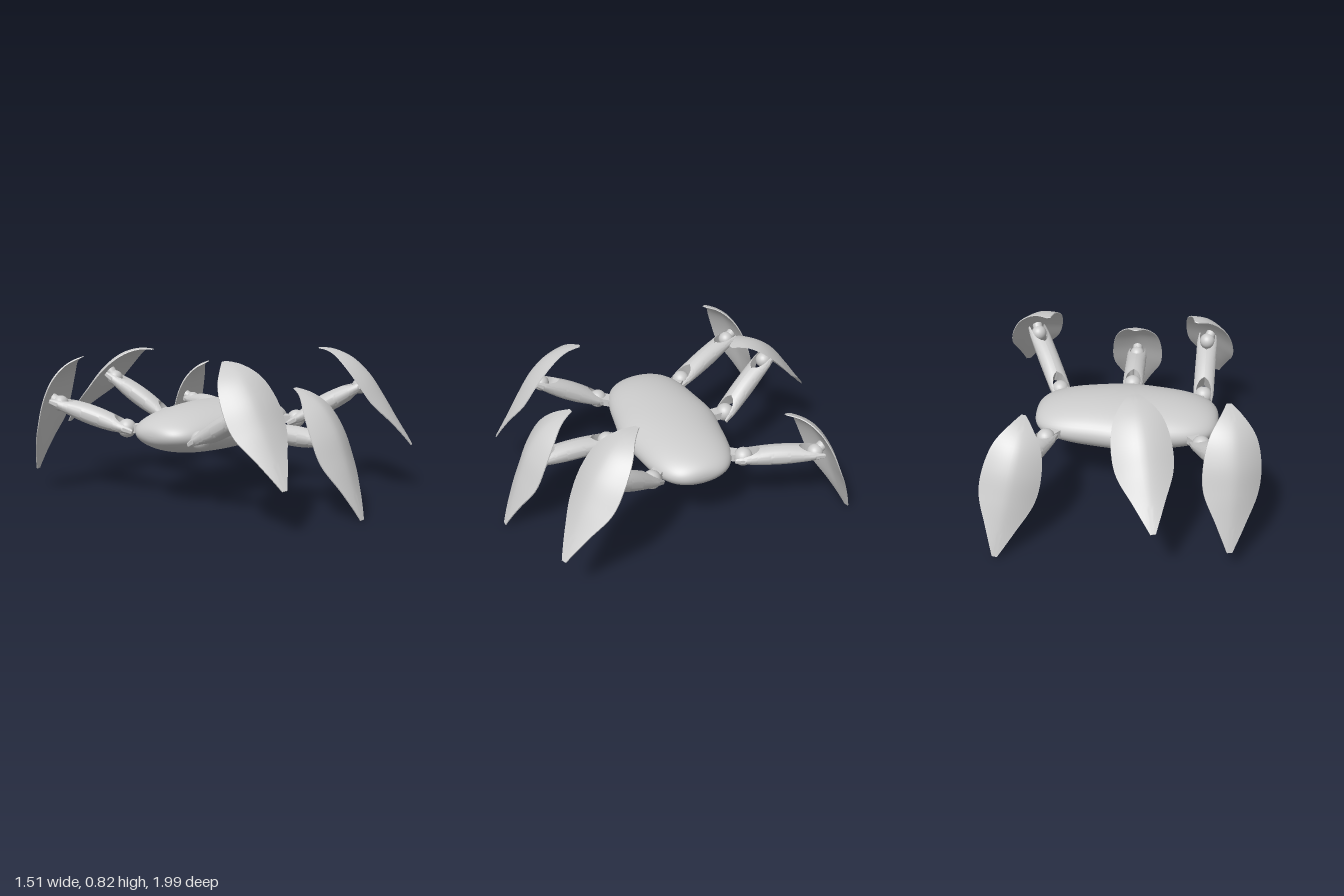
import * as THREE from 'three';
import { toCreasedNormals } from 'three/addons/utils/BufferGeometryUtils.js';

const V = (x, y, z) => new THREE.Vector3(x, y, z);
const material = new THREE.MeshStandardMaterial({ color: 0xcccccc });

// Piecewise-linear profile lookup, eased by Catmull-Rom
function profile(points) {
  const curve = new THREE.CatmullRomCurve3(points.map(([u, v]) => V(u, v, 0)), false, 'centripetal');
  const samples = curve.getPoints(200);
  return (u) => {
    const i = Math.max(1, samples.findIndex((p) => p.x >= u - 1e-6));
    const a = samples[i - 1], b = samples[i];
    return THREE.MathUtils.lerp(a.y, b.y, (u - a.x) / (b.x - a.x || 1));
  };
}

// Closed skin over equal-length rings, always turned outward
function loft(rings, crease) {
  const n = rings[0].length, last = (rings.length - 1) * n;
  const pts = rings.flat();
  const tris = [];
  for (let r = 0; r < rings.length - 1; r++) {
    for (let k = 0; k < n; k++) {
      const a = r * n + k, b = r * n + (k + 1) % n;
      tris.push([a, b, a + n], [b, b + n, a + n]);
    }
  }
  for (let k = 1; k < n - 1; k++) tris.push([0, k + 1, k], [last, last + k, last + k + 1]);
  let volume = 0;
  for (const [a, b, c] of tris) volume += pts[a].dot(pts[b].clone().cross(pts[c]));
  const geometry = new THREE.BufferGeometry().setFromPoints(pts);
  geometry.setIndex(tris.flatMap(([a, b, c]) => (volume < 0 ? [a, c, b] : [a, b, c])));
  return toCreasedNormals(geometry, crease);
}

function add(parent, name, geometry) {
  const mesh = new THREE.Mesh(geometry, material);
  mesh.name = name;
  parent.add(mesh);
  return mesh;
}

// Flattened pebble with full ends and a slight bulge at the middle legs
function bodyGeometry() {
  const g = new THREE.SphereGeometry(1, 48, 64).rotateZ(Math.PI / 2);
  const p = g.attributes.position;
  for (let i = 0; i < p.count; i++) {
    const x = p.getX(i), ax = Math.min(1, Math.abs(x));
    const r = Math.max(1e-4, Math.hypot(p.getY(i), p.getZ(i)));
    const hy = 0.135 * (1 - ax ** 2.4) ** (1 / 2.4);
    const hz = (0.26 + 0.025 * Math.exp(-((x / 0.28) ** 2))) * Math.cbrt(1 - ax ** 3);
    p.setXYZ(i, x * 0.52, p.getY(i) / r * hy, p.getZ(i) / r * hz);
  }
  g.computeVertexNormals();
  return g;
}

// One half of the forked limb; runs along +z from joint to joint
function limbHalf(length, side) {
  const rings = [], steps = 60, over = 0.05;
  for (let i = 0; i <= steps; i++) {
    const s = -over + (length + 2 * over) * (i / steps);
    const bulge = Math.sin(Math.PI * i / steps);
    const thick = 0.025 + 0.03 * bulge;
    const wide = 0.052 + 0.008 * Math.min(1, bulge * 2.5);
    const d = Math.max(0, Math.min(s, length - s)) / 0.09;
    const inner = 0.045 * Math.sqrt(Math.max(0, 1 - d * d));
    const top = [], bottom = [];
    for (let k = 0; k <= 6; k++) {
      const x = THREE.MathUtils.lerp(inner, wide, Math.sin(k / 6 * Math.PI / 2));
      const y = thick * Math.sqrt(1 - (0.96 * x / wide) ** 2);
      top.push(V(side * x, y, s));
      bottom.unshift(V(side * x, -y, s));
    }
    rings.push([...top, ...bottom]);
  }
  return loft(rings, 0.9);
}

// Leaf-shaped shield: half-width and outward bow along its length
const leafWidth = profile([[0, 0.012], [0.08, 0.06], [0.22, 0.125], [0.42, 0.155], [0.59, 0.146], [0.8, 0.08], [1, 0.014]]);
const leafBow = profile([[0, 0], [0.08, 0.052], [0.22, 0.098], [0.4, 0.105], [0.6, 0.075], [0.8, 0.036], [1, 0]]);

function leafGeometry(length) {
  const rings = [], steps = 32, cols = 14;
  for (let i = 0; i <= steps; i++) {
    const u = i / steps, w = leafWidth(u), bow = leafBow(u);
    const outer = [], inner = [];
    for (let k = 0; k <= cols; k++) {
      const c = k / cols * 2 - 1;
      const y = bow - 0.055 * (w / 0.155) ** 2 * Math.abs(c) ** 1.6;
      const thick = 0.006 + 0.026 * (1 - c * c) * Math.sin(Math.PI * u);
      outer.push(V(c * w, y, u * length));
      inner.unshift(V(c * w, y - thick, u * length));
    }
    rings.push([...outer, ...inner]);
  }
  return loft(rings, 0.8);
}

// Each leg: hip joint, leaf top, leaf tip, direction across the leaf
const legs = [
  { name: 'frontMiddleLeg', hip: V(-0.02, 0.39, 0.37), top: V(-0.02, 0.65, 0.57), tip: V(-0.01, 0, 1), across: V(1, 0, 0) },
  { name: 'frontRightLeg', hip: V(-0.445, 0.39, 0.27), top: V(-0.39, 0.81, 0.385), tip: V(-0.53, 0.235, 0.885), across: V(0.27, 0.04, 0.12) },
  { name: 'frontLeftLeg', hip: V(0.405, 0.39, 0.27), top: V(0.477, 0.81, 0.375), tip: V(0.705, 0.27, 0.87), across: V(0.266, 0, -0.113) },
  { name: 'backLeftLeg', hip: V(0.41, 0.39, -0.27), top: V(0.483, 0.66, -0.48), tip: V(0.608, 0.012, -0.855), across: V(0.3, 0.08, -0.02) },
  { name: 'backRightLeg', hip: V(-0.445, 0.39, -0.27), top: V(-0.577, 0.785, -0.48), tip: V(-0.615, 0.11, -0.84), across: V(0.3, 0.03, -0.09) },
  { name: 'backMiddleLeg', hip: V(-0.02, 0.39, -0.365), top: V(-0.08, 0.79, -0.42), tip: V(-0.23, 0.32, -0.99), across: V(0.28, -0.01, -0.06) },
];

function createLeg({ name, hip, top, tip, across }) {
  const leg = new THREE.Group();
  leg.name = name;

  // Leaf frame: along, across and outward
  const along = tip.clone().sub(top);
  const length = along.length();
  along.normalize();
  const w = across.clone().addScaledVector(along, -across.dot(along)).normalize();
  const out = along.clone().cross(w);
  if (out.y < 0) { out.negate(); w.negate(); }
  const leaf = add(leg, 'leafShield', leafGeometry(length));
  leaf.quaternion.setFromRotationMatrix(new THREE.Matrix4().makeBasis(w, out, along));
  leaf.position.copy(top);

  // Joints
  const knee = top.clone().addScaledVector(along, 0.42 * length).addScaledVector(out, 0.015);
  add(leg, 'hipBall', new THREE.SphereGeometry(0.052, 24, 16)).position.copy(hip);
  add(leg, 'kneeBall', new THREE.SphereGeometry(0.045, 24, 16)).position.copy(knee);
  const neck = add(leg, 'kneeNeck', new THREE.CylinderGeometry(0.03, 0.028, 0.07, 16));
  neck.position.copy(knee).addScaledVector(out, 0.035);
  neck.quaternion.setFromUnitVectors(V(0, 1, 0), out);

  // Socket joining the hip to the body
  const root = V(hip.x * 0.78, hip.y, hip.z * 0.58);
  const socket = add(leg, 'hipSocket', new THREE.BoxGeometry(0.065, 0.045, root.distanceTo(hip)));
  socket.position.copy(root).lerp(hip, 0.5);
  socket.lookAt(hip);

  // Limb forked around both joints
  const limb = new THREE.Group();
  limb.name = 'forkedLimb';
  for (const side of [-1, 1]) add(limb, 'limbHalf', limbHalf(hip.distanceTo(knee), side));
  limb.position.copy(hip);
  limb.lookAt(knee);
  leg.add(limb);
  return leg;
}

export function createModel() {
  const model = new THREE.Group();
  model.name = 'sixLeggedWalker';
  add(model, 'body', bodyGeometry()).position.set(-0.017, 0.39, 0);
  for (const leg of legs) model.add(createLeg(leg));
  return model;
}
